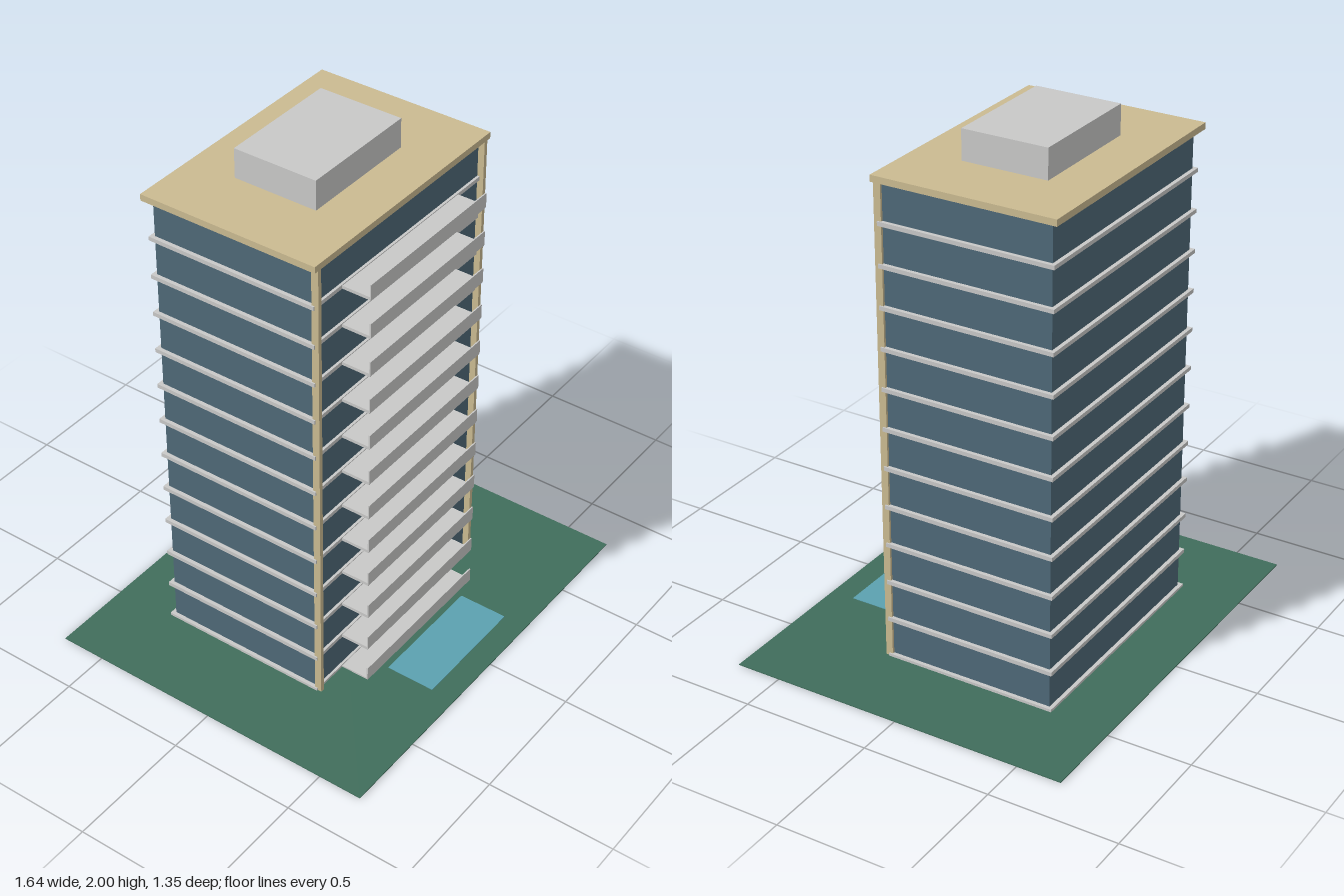
import * as THREE from 'three';

const mat = (name, color) => {
  const m = new THREE.MeshStandardMaterial({ color });
  m.name = name;
  return m;
};

export function createModel() {
  const glass = mat('blue glass', 0x4e6877);
  const concrete = mat('pale concrete', 0xc8c8c7);
  const sand = mat('sand trim', 0xcaba91);
  const lawn = mat('lawn green', 0x406d5b);
  const water = mat('pool water', 0x5ba1b0);

  const model = new THREE.Group();
  model.name = 'towerBlock';

  // Box given by its lower and upper corners
  const box = (name, material, [x0, y0, z0], [x1, y1, z1], parent = model) => {
    const mesh = new THREE.Mesh(new THREE.BoxGeometry(x1 - x0, y1 - y0, z1 - z0), material);
    mesh.position.set((x0 + x1) / 2, (y0 + y1) / 2, (z0 + z1) / 2);
    mesh.name = name;
    parent.add(mesh);
    return mesh;
  };

  // Plot and pool
  box('lawn', lawn, [-0.82, 0.001, -0.675], [0.82, 0.005, 0.675]);
  box('pool', water, [-0.24, 0.003, 0.385], [0.24, 0.007, 0.58]);

  // Tower body
  box('towerBody', glass, [-0.475, 0.002, -0.425], [0.475, 1.86, 0.235]);

  // Storeys: floor slab, balcony and parapet
  const pitch = 0.1547;
  for (let i = 0; i < 12; i++) {
    const floor = new THREE.Group();
    floor.name = 'storey' + (i + 1);
    floor.position.y = i * pitch;
    box('floorSlab', concrete, [-0.49, 0, -0.44], [0.49, 0.0155, 0.245], floor);
    box('balconyFloor', concrete, [-0.335, 0, 0.24], [0.335, 0.012, 0.358], floor);
    box('balconyParapet', concrete, [-0.335, 0.005, 0.355], [0.335, 0.061, 0.36], floor);
    model.add(floor);
  }

  // Corner fins on the front
  for (const s of [-1, 1]) {
    const x = s * 0.4765;
    box(s > 0 ? 'leftFin' : 'rightFin', sand, [x - 0.008, 0.002, 0.232], [x + 0.008, 1.862, 0.26]);
  }

  // Roof slab and plant room
  box('roof', sand, [-0.502, 1.86, -0.456], [0.502, 1.885, 0.26]);
  box('plantRoom', concrete, [-0.24, 1.88, -0.266], [0.24, 2, 0.07]);

  return model;
}
